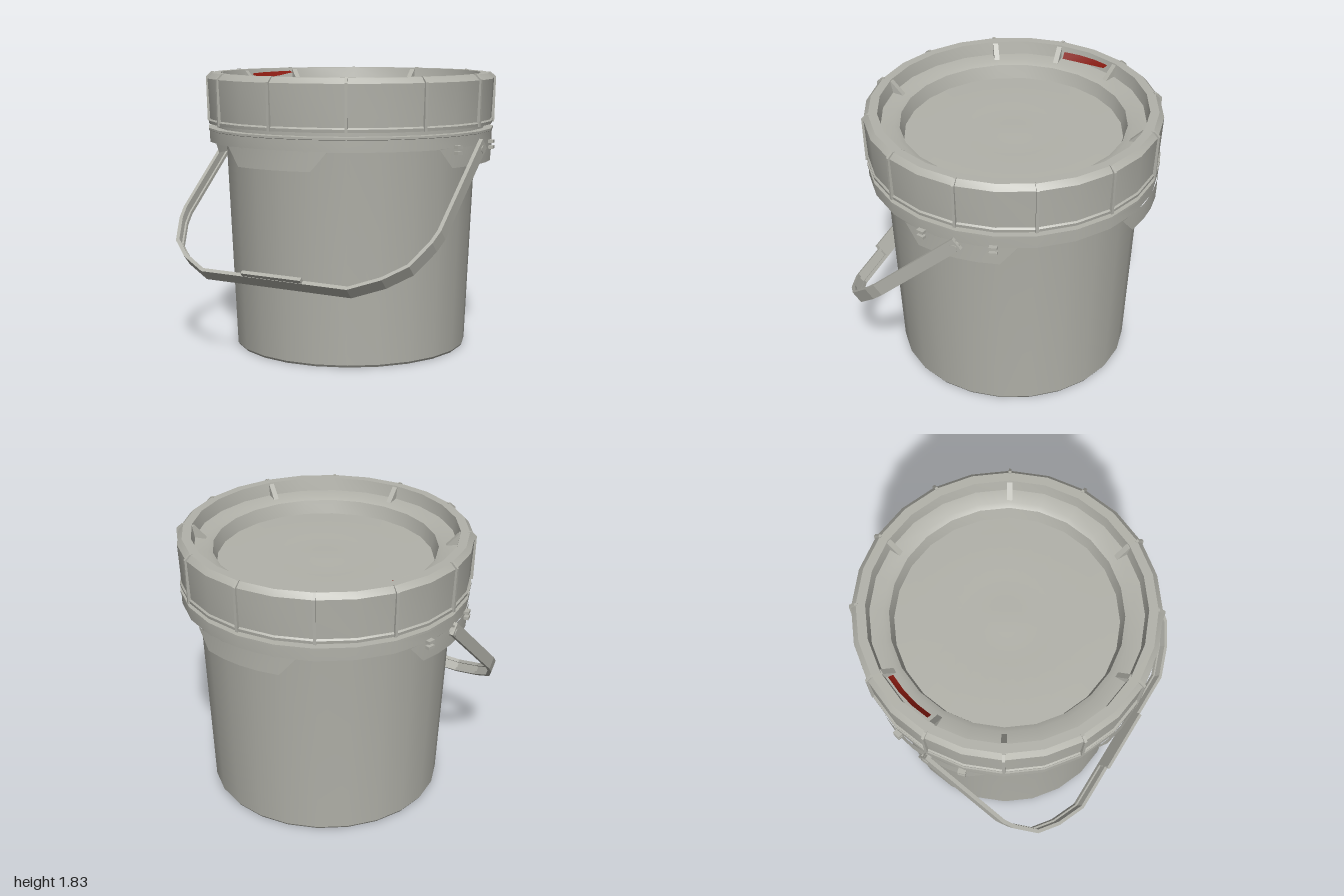
import * as THREE from 'three';
import { toCreasedNormals } from 'three/addons/utils/BufferGeometryUtils.js';

const plastic = new THREE.MeshStandardMaterial({ color: 0xb2b2aa });
plastic.name = 'grey plastic';
plastic.side = THREE.DoubleSide;
const red = new THREE.MeshStandardMaterial({ color: 0x86190f });
red.name = 'dark red';
red.side = THREE.DoubleSide;

const rad = THREE.MathUtils.degToRad;
const vec = ([x, y]) => new THREE.Vector2(x, y);

function add(parent, name, geometry, material = plastic) {
  const mesh = new THREE.Mesh(geometry, material);
  mesh.name = name;
  parent.add(mesh);
  return mesh;
}

// Turned part from [radius, height] pairs, listed from the bottom up
const turned = (profile) => toCreasedNormals(new THREE.LatheGeometry(profile.map(vec), 24), 0.45);

// Curved ribbon: each row is [angle in degrees, low y, high y]; zero angle faces +z
function ribbon(rows, rLow, rHigh) {
  const pos = [], index = [];
  rows.forEach(([deg, y0, y1], i) => {
    const s = Math.sin(rad(deg)), c = Math.cos(rad(deg));
    pos.push(rLow * s, y0, rLow * c, rHigh * s, y1, rHigh * c);
    if (i) {
      const a = 2 * i - 2;
      index.push(a, a + 2, a + 3, a, a + 3, a + 1);
    }
  });
  const g = new THREE.BufferGeometry();
  g.setAttribute('position', new THREE.Float32BufferAttribute(pos, 3));
  g.setIndex(index);
  g.computeVertexNormals();
  return g;
}

// Handle outline in its own plane: half path as [x, distance from pivot]
const half = [[0.99, -0.03], [0.99, 0.73], [0.97, 0.83], [0.89, 1.02], [0.75, 1.14], [0.55, 1.24]];

function strap(thickness, width, offset) {
  const path = [...half, ...half.slice().reverse().map(([x, s]) => [-x, s])].map(([x, s]) => new THREE.Vector2(x, -s));
  // inner edge: shift every point along the averaged normal
  const inner = path.map((p, i) => {
    const a = path[Math.max(i - 1, 0)], b = path[Math.min(i + 1, path.length - 1)];
    const d = b.clone().sub(a).normalize();
    return new THREE.Vector2(p.x + d.y * thickness, p.y - d.x * thickness);
  });
  const g = new THREE.ExtrudeGeometry(new THREE.Shape([...path, ...inner.reverse()]), { depth: width, bevelEnabled: false });
  return g.translate(0, 0, offset - width / 2);
}

export function createModel() {
  const model = new THREE.Group();
  model.name = 'bucket';

  // Tapered body with its base and the neck under the lid
  add(model, 'body', turned([[0, 0.012], [0.2, 0.012], [0.22, 0.004], [0.77, 0], [0.78, 0.015],
    [0.842, 1.4], [0.85, 1.47], [0.9, 1.47], [0.9, 1.52]]));

  // Collar around the top of the body
  add(model, 'collar', turned([[0.842, 1.42], [0.935, 1.42], [0.95, 1.38], [0.952, 1.455],
    [0.958, 1.458], [0.958, 1.472], [0.86, 1.474]]));

  // Four trapezoid tabs below the collar
  for (let i = 0; i < 4; i++) {
    const rows = [-23, -16.5, -8, 0, 8, 16.5, 23].map((a) => [a, Math.abs(a) > 20 ? 1.38 : 1.26, 1.385]);
    add(model, 'collarTab', ribbon(rows, 0.949, 0.95)).rotation.y = i * Math.PI / 2;
  }

  // Lid: skirt, bevelled rim, channel and sunken panel
  const lid = new THREE.Group();
  lid.name = 'lid';
  model.add(lid);
  add(lid, 'lidShell', turned([[0.89, 1.495], [0.955, 1.5], [0.958, 1.52], [0.948, 1.53], [0.962, 1.795],
    [0.93, 1.83], [0.872, 1.83], [0.855, 1.745], [0.77, 1.735], [0.735, 1.72], [0.71, 1.63],
    [0.6, 1.632], [0.3, 1.638], [0.19, 1.632], [0.1, 1.638], [0, 1.634]]));

  // Grip ribs around the lid skirt
  for (let i = 0; i < 12; i++) {
    const rib = new THREE.Shape([[0.935, 1.5], [0.966, 1.5], [0.974, 1.8], [0.938, 1.834], [0.92, 1.834]].map(vec));
    const g = new THREE.ExtrudeGeometry(rib, { depth: 0.018, bevelEnabled: false }).translate(0, 0, -0.009);
    add(lid, 'lidRib', g).rotation.y = i * Math.PI / 6;
  }

  // Wedge gussets in the rim channel
  for (const deg of [30, 90, 150, 180, 210, 270, 330]) {
    const wedge = new THREE.Shape([[0.775, 1.73], [0.88, 1.73], [0.88, 1.822], [0.862, 1.822]].map(vec));
    const g = new THREE.ExtrudeGeometry(wedge, { depth: 0.035, bevelEnabled: false }).translate(0, 0, -0.0175);
    add(lid, 'rimGusset', g).rotation.y = rad(deg);
  }

  // Red tapering strip inside the rim, on the right side
  add(lid, 'tearStrip', ribbon([[-93, 1.765, 1.8], [-101, 1.768, 1.805], [-109, 1.78, 1.808], [-117, 1.8, 1.81]],
    0.81, 0.845), red);

  // Swing handle: thin web with two raised edges, tilted to the front
  const handle = new THREE.Group();
  handle.name = 'handle';
  handle.position.y = 1.375;
  handle.rotation.x = -0.831;
  model.add(handle);
  add(handle, 'handleWeb', strap(0.012, 0.08, 0));
  for (const side of [-1, 1]) add(handle, 'handleEdge', strap(0.026, 0.022, side * 0.031));
  add(handle, 'handleGrip', new THREE.BoxGeometry(0.45, 0.025, 0.11)).position.set(0, -1.225, 0.015);

  // Pivots and pairs of small stop lugs on both sides
  for (const side of [-1, 1]) {
    const pivot = add(model, 'handlePivot', new THREE.CylinderGeometry(0.028, 0.028, 0.06, 12));
    pivot.rotation.z = Math.PI / 2;
    pivot.position.set(side * 0.965, 1.36, 0);
    for (const z of [-0.235, 0.235]) {
      for (const y of [1.352, 1.39]) {
        const lug = add(model, 'stopLug', new THREE.BoxGeometry(0.05, 0.02, 0.05));
        lug.position.set(side * 0.925, y, z);
        lug.rotation.y = -side * Math.atan2(z, 0.92);
      }
    }
  }
  return model;
}
